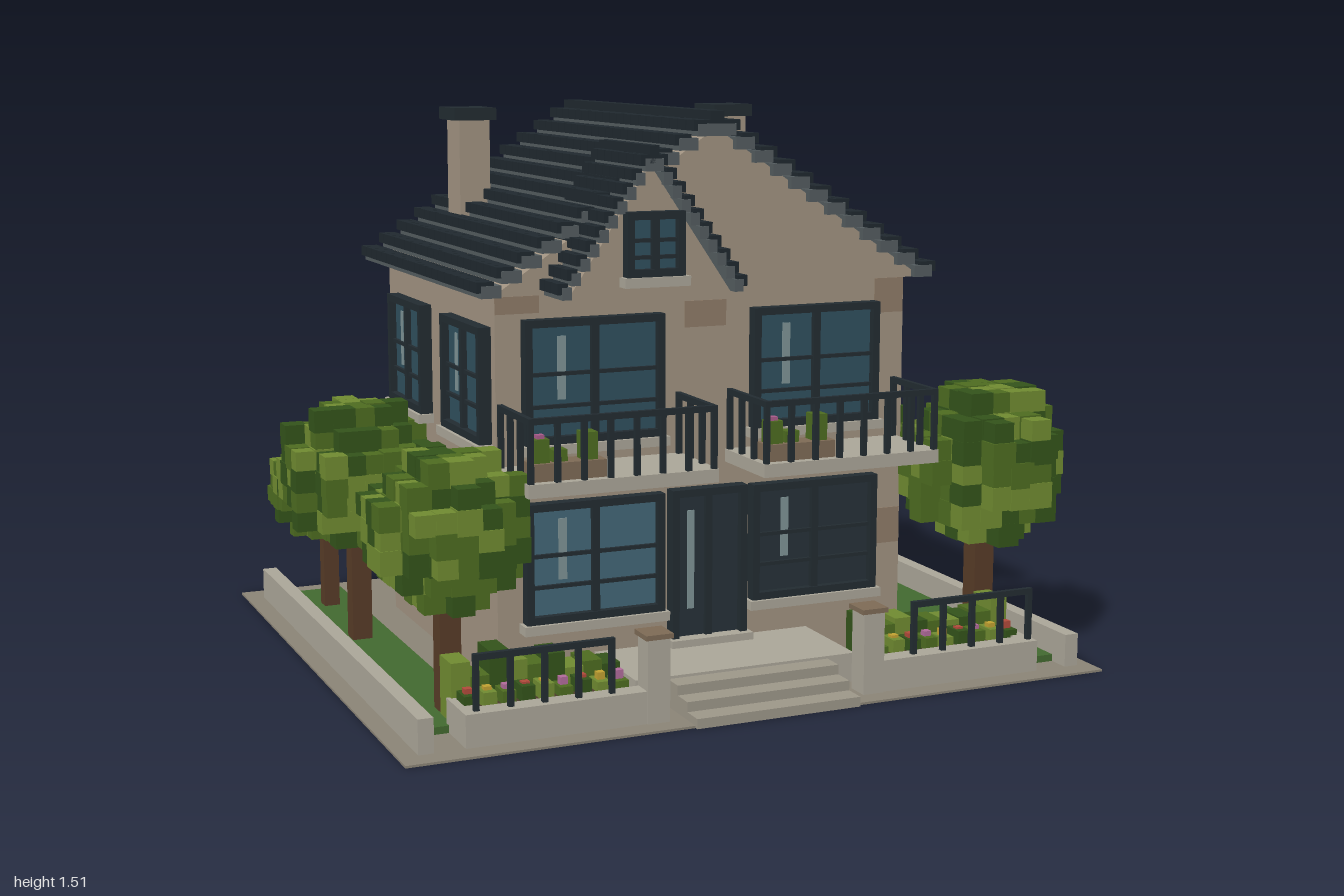
import * as THREE from 'three';
import { mergeGeometries } from 'three/addons/utils/BufferGeometryUtils.js';

const C = { wall: 0xa09280, patch: 0x8e7b67, dark: 0x222b31, tile: 0x1f282e, tileEdge: 0x535b5e,
  stone: 0xaaa598, paving: 0x8a8375, step: 0x9c9688, lawn: 0x42692f, soil: 0x4a3a2a, trunk: 0x573b27,
  glass: 0x2f4f5d, glassLight: 0x426676, glassDark: 0x263138, glint: 0x7d9294, wood: 0x7d6a55 };
const GREENS = [0x33531a, 0x4d6b20, 0x6f8a30];

// Box from its extents
function box(x0, x1, y0, y1, z0, z1) {
  return new THREE.BoxGeometry(x1 - x0, y1 - y0, z1 - z0)
    .translate((x0 + x1) / 2, (y0 + y1) / 2, (z0 + z1) / 2);
}

// One named mesh from a list of geometries
function add(parent, name, color, geos) {
  const mesh = new THREE.Mesh(mergeGeometries(geos),
    new THREE.MeshStandardMaterial({ color, flatShading: true }));
  mesh.name = name;
  parent.add(mesh);
  return mesh;
}

function group(parent, name) {
  const g = new THREE.Group();
  g.name = name;
  parent.add(g);
  return g;
}

// Outline in x and y, extruded from z0 to z1
function prism(points, z0, z1) {
  const shape = new THREE.Shape(points.map(p => new THREE.Vector2(...p)));
  return new THREE.ExtrudeGeometry(shape, { depth: z1 - z0, bevelEnabled: false }).translate(0, 0, z0);
}

function seeded(seed) {
  return () => (seed = (seed * 16807) % 2147483647) / 2147483647;
}

// Framed window facing +z
function windowUnit(parent, name, x0, x1, y0, y1, z, glass, cols = 2) {
  const g = group(parent, name), t = 0.02, w = x1 - x0, h = y1 - y0;
  const frame = [box(x0, x0 + t, y0, y1, z, z + 0.035), box(x1 - t, x1, y0, y1, z, z + 0.035),
    box(x0, x1, y0, y0 + t, z, z + 0.035), box(x0, x1, y1 - t, y1, z, z + 0.035)];
  for (let i = 1; i < cols; i++) {
    const x = x0 + w * i / cols;
    frame.push(box(x - t / 2, x + t / 2, y0, y1, z, z + 0.03));
  }
  for (const f of [0.3, 0.56]) frame.push(box(x0, x1, y0 + h * f - 0.005, y0 + h * f + 0.005, z, z + 0.025));
  add(g, 'windowFrame', C.dark, frame);
  add(g, 'windowGlass', glass, [box(x0 + 0.01, x1 - 0.01, y0 + 0.01, y1 - 0.01, z - 0.01, z + 0.015)]);
  if (w > 0.2) add(g, 'curtain', C.glint,
    [box(x0 + w * 0.24, x0 + w * 0.3, y0 + h * 0.35, y0 + h * 0.86, z, z + 0.018)]);
  add(g, 'windowSill', C.stone, [box(x0 - 0.01, x1 + 0.01, y0 - 0.025, y0, z - 0.01, z + 0.045)]);
  return g;
}

// Stepped tile rows down both slopes of a ridge along z
function tiledRoof(parent, name, cx, top, run, drop, rows, z0, z1) {
  const g = group(parent, name), base = [], tiles = [];
  const dx = run / rows, dy = drop / rows, n = Math.round((z1 - z0) / 0.052), dz = (z1 - z0) / n;
  for (const s of [-1, 1]) for (let i = 0; i < rows; i++) {
    const a = cx + s * dx * i, b = cx + s * dx * (i + 1), y = top - dy * (i + 1);
    base.push(box(Math.min(a, b), Math.max(a, b), y - 0.02, y + 0.012, z0, z1));
    const lo = b - s * dx * 0.65, hi = b + s * 0.012;
    for (let k = 0; k < n; k++) tiles.push(box(Math.min(lo, hi), Math.max(lo, hi), y - 0.006, y + 0.022,
      z0 + dz * k + 0.002, z0 + dz * (k + 1) - 0.002));
  }
  const cap = Math.min(dx * 0.5, 0.02);
  tiles.push(box(cx - cap, cx + cap, top - dy, top + 0.01, z0, z1));
  add(g, 'tileBedding', C.tileEdge, base);
  add(g, 'roofTiles', C.tile, tiles);
}

// Trunk with a crown of cubes in three greens
function tree(parent, x, z, y, r, seed) {
  const g = group(parent, 'tree'), rnd = seeded(seed), s = r / 3.4, lots = [[], [], []];
  for (let i = -4; i <= 4; i++) for (let j = -4; j <= 4; j++) for (let k = -4; k <= 4; k++) {
    const d = Math.hypot(i, j, k), keep = 3.25 + rnd() * 0.6, hue = Math.floor(rnd() * 3);
    if (d > keep || d < 1.9) continue;
    const e = s * (0.5 + rnd() * 0.1);
    const px = x + i * s, py = y + j * s, pz = z + k * s;
    lots[hue].push(box(px - e, px + e, py - e, py + e, pz - e, pz + e));
  }
  lots.forEach((l, i) => add(g, 'leaves', GREENS[i], l));
  const t = r * 0.15;
  add(g, 'trunk', C.trunk, [box(x - t, x + t, 0.01, y, z - t, z + t),
    box(x, x + r * 0.5, y - r * 0.85, y - r * 0.72, z - t * 0.6, z + t * 0.6)]);
}

// Handrail with balusters through a list of corners
function railing(parent, corners, y0, y1, gap) {
  const bars = [], t = 0.007;
  for (let i = 0; i + 1 < corners.length; i++) {
    const [ax, az] = corners[i], [bx, bz] = corners[i + 1];
    const n = Math.max(1, Math.round(Math.hypot(bx - ax, bz - az) / gap));
    bars.push(box(Math.min(ax, bx) - t, Math.max(ax, bx) + t, y1 - 0.016, y1, Math.min(az, bz) - t, Math.max(az, bz) + t));
    for (let k = 0; k <= n; k++) {
      const x = ax + (bx - ax) * k / n, z = az + (bz - az) * k / n;
      bars.push(box(x - t, x + t, y0, y1, z - t, z + t));
    }
  }
  add(parent, 'railing', C.dark, bars);
}

export function createModel() {
  const model = new THREE.Group();
  model.name = 'house';

  // Plot: paving, lawns, side walls
  add(model, 'paving', C.paving, [box(-0.99, 0.97, 0, 0.006, -0.87, 0.85)]);
  add(model, 'lawns', C.lawn, [box(-0.9, -0.71, 0, 0.025, -0.75, 0.66), box(0.7, 0.89, 0, 0.025, -0.73, 0.73)]);
  add(model, 'sideWalls', C.stone, [box(-0.94, -0.9, 0, 0.095, -0.79, 0.79), box(0.89, 0.93, 0, 0.095, -0.79, 0.79)]);

  // House body with gable block overhanging front and back
  add(model, 'houseWalls', C.wall, [box(-0.6, 0.59, 0, 1.05, -0.53, 0.4)]);
  add(model, 'gables', C.wall, [prism([[-0.62, 1.05], [0.62, 1.05], [0, 1.465]], -0.57, 0.44)]);
  add(model, 'dormerWalls', C.wall, [prism([[-0.46, 1.05], [-0.01, 1.05], [-0.235, 1.38]], 0.24, 0.555)]);
  add(model, 'wallPatches', C.patch, [[-0.6, -0.48, 1, 1.045], [-0.07, 0.05, 0.94, 1.01], [0.5, 0.588, 0.95, 1.045],
    [0.52, 0.588, 0.3, 0.4], [-0.3, -0.14, 0.52, 0.57], [0.35, 0.5, 0.52, 0.57], [-0.6, -0.54, 0.4, 0.5]]
    .map(([a, b, c, d]) => box(a, b, c, d, 0.39, 0.403)));

  // Roofs
  tiledRoof(model, 'mainRoof', -0.005, 1.5, 0.65, 0.43, 12, -0.59, 0.46);
  tiledRoof(model, 'dormerRoof', -0.23, 1.42, 0.25, 0.35, 10, 0.23, 0.57);

  // Chimneys
  for (const x of [-0.42, 0.385]) {
    const g = group(model, 'chimney');
    add(g, 'chimneyShaft', C.wall, [box(x - 0.045, x + 0.045, 1.15, 1.47, -0.38, -0.27)]);
    add(g, 'chimneyCap', C.dark, [box(x - 0.062, x + 0.062, 1.465, 1.5, -0.4, -0.26)]);
  }

  // Windows on the front and on the -x wall
  windowUnit(model, 'upperRightWindow', -0.53, -0.14, 0.66, 0.985, 0.4, C.glass);
  windowUnit(model, 'upperLeftWindow', 0.12, 0.5, 0.66, 0.985, 0.4, C.glass);
  windowUnit(model, 'lowerRightWindow', -0.53, -0.14, 0.185, 0.505, 0.4, C.glassLight);
  windowUnit(model, 'lowerLeftWindow', 0.12, 0.5, 0.185, 0.505, 0.4, C.glassDark);
  windowUnit(model, 'dormerWindow', -0.31, -0.15, 1.1, 1.265, 0.55, C.glass);
  const side = group(model, 'sideWindows');
  windowUnit(side, 'rearSideWindow', -0.44, -0.13, 0.66, 0.965, 0.6, C.glass);
  windowUnit(side, 'frontSideWindow', 0.05, 0.37, 0.66, 0.965, 0.6, C.glass);
  side.rotation.y = -Math.PI / 2;

  // Front door
  const door = group(model, 'frontDoor');
  add(door, 'doorFrame', C.dark, [box(-0.12, -0.1, 0.1, 0.51, 0.39, 0.44), box(0.08, 0.1, 0.1, 0.51, 0.39, 0.44),
    box(-0.12, 0.1, 0.49, 0.51, 0.39, 0.44), box(-0.02, 0, 0.1, 0.5, 0.39, 0.43)]);
  add(door, 'doorPanel', C.glassDark, [box(-0.1, 0.08, 0.1, 0.5, 0.39, 0.42)]);
  add(door, 'doorGlass', C.glint, [box(-0.07, -0.05, 0.18, 0.45, 0.41, 0.423)]);
  add(door, 'doorSill', C.stone, [box(-0.13, 0.11, 0.085, 0.105, 0.39, 0.46)]);

  // Landing and steps
  add(model, 'landing', C.stone, [box(-0.33, 0.3, 0, 0.085, 0.4, 0.68)]);
  add(model, 'steps', C.step, [0, 1, 2].map(i => box(-0.24, 0.22, 0, 0.026 * (i + 1), 0.6, 0.86 - 0.06 * i)));

  // Balconies with planters
  for (const [x0, x1, p] of [[-0.6, -0.08, -0.58], [0.05, 0.57, 0.07]]) {
    const g = group(model, 'balcony');
    add(g, 'balconySlab', C.stone, [box(x0, x1, 0.57, 0.605, 0.39, 0.64)]);
    railing(g, [[x0 + 0.01, 0.41], [x0 + 0.01, 0.63], [x1 - 0.01, 0.63], [x1 - 0.01, 0.41]], 0.6, 0.77, 0.07);
    add(g, 'planter', C.wood, [box(p, p + 0.2, 0.605, 0.65, 0.55, 0.615)]);
    add(g, 'planterLeaves', GREENS[1], [box(p + 0.01, p + 0.05, 0.65, 0.71, 0.56, 0.605),
      box(p + 0.06, p + 0.1, 0.65, 0.68, 0.56, 0.6), box(p + 0.14, p + 0.18, 0.65, 0.72, 0.56, 0.605)]);
    add(g, 'planterFlowers', 0xa85a8a, [box(p + 0.02, p + 0.04, 0.7, 0.72, 0.575, 0.595)]);
  }

  // Front garden: walls, gate posts, fences, hedges and flower beds
  const rnd = seeded(77), hedges = [[], [], []], flowers = [[], [], []];
  for (const s of [-1, 1]) {
    const g = group(model, 'frontGarden'), at = (a, b, ...r) => s < 0 ? box(-b, -a, ...r) : box(a - 0.02, b - 0.02, ...r);
    add(g, 'gardenWall', C.stone, [at(0.33, 0.82, 0, 0.09, 0.735, 0.79), at(0.78, 0.82, 0, 0.09, 0.64, 0.74)]);
    add(g, 'gatePost', C.stone, [at(0.285, 0.345, 0, 0.225, 0.73, 0.795)]);
    add(g, 'gatePostCap', C.wood, [at(0.278, 0.352, 0.222, 0.235, 0.724, 0.8)]);
    add(g, 'flowerBed', C.soil, [at(0.36, 0.8, 0, 0.08, 0.63, 0.735)]);
    railing(g, [[s * 0.43, 0.765], [s * 0.785, 0.765]], 0.09, 0.232, 0.085);
    for (let i = 0; i < 9; i++) {
      const x = 0.36 + i * 0.05, h = 0.13 + rnd() * 0.07;
      hedges[i % 3].push(at(x, x + 0.05, 0, h, 0.56, 0.65));
      hedges[(i + 1) % 3].push(at(x + 0.005, x + 0.04, 0.07, 0.1 + rnd() * 0.02, 0.66, 0.72));
      flowers[i % 3].push(at(x + 0.012, x + 0.032, 0.1, 0.125, 0.68, 0.7));
    }
  }
  hedges.forEach((l, i) => add(model, 'hedge', GREENS[i], l));
  flowers.forEach((l, i) => add(model, 'flowers', [0xb06a9a, 0xc0a030, 0xb04a3a][i], l));

  // Trees: x, z, crown height, crown radius
  [[0.785, 0.51, 0.53, 0.2], [0.79, -0.17, 0.43, 0.145], [0.785, -0.56, 0.53, 0.19],
    [-0.78, 0.53, 0.49, 0.185], [-0.805, -0.19, 0.5, 0.185], [-0.79, -0.57, 0.4, 0.15]]
    .forEach(([x, z, y, r], i) => tree(model, x, z, y, r, 911 + i * 137));

  return model;
}
